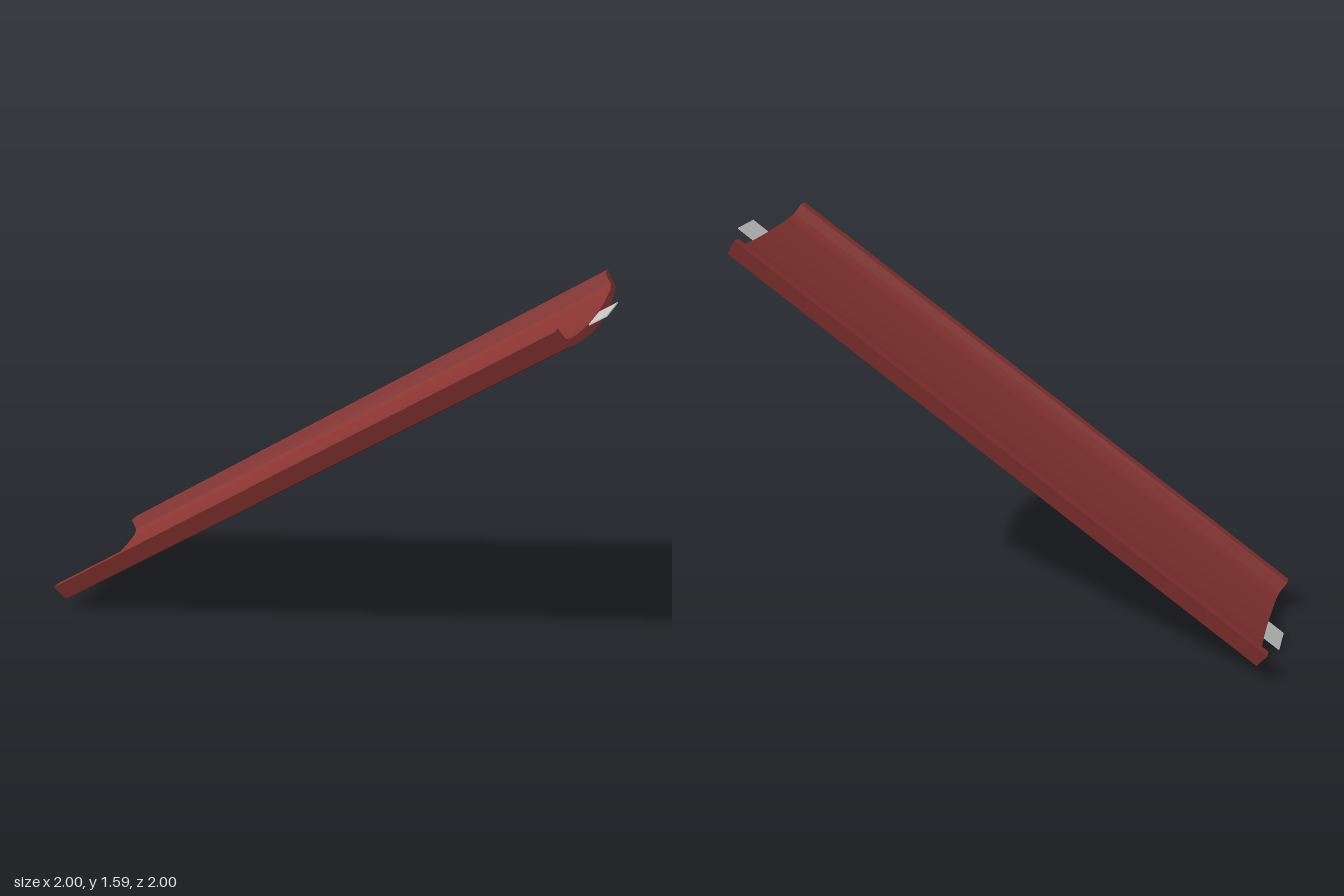
import * as THREE from 'three';
import { toCreasedNormals } from 'three/addons/utils/BufferGeometryUtils.js';

export function createModel() {
  const model = new THREE.Group();
  model.name = 'slide';

  const red = new THREE.MeshStandardMaterial({ color: 0x8c3633 });
  const grey = new THREE.MeshStandardMaterial({ color: 0xcccccc });

  const length = 2.565;   // chute length along the slope
  const tab = 0.079;      // how far the strip sticks out at each end

  // Chute cross-section: x across, y away from the floor, 0 at the rail tops
  const profile = new THREE.Shape();
  profile.moveTo(-0.355, 0);
  profile.lineTo(-0.331, -0.072);
  profile.quadraticCurveTo(0, -0.152, 0.331, -0.072); // bowed underside
  profile.lineTo(0.355, 0);
  profile.lineTo(0.315, 0);
  profile.lineTo(0.304, -0.047);
  profile.lineTo(0.275, -0.06);
  profile.quadraticCurveTo(0, -0.098, -0.275, -0.06); // dished floor
  profile.lineTo(-0.304, -0.047);
  profile.lineTo(-0.315, 0);
  profile.closePath();

  const chuteGeometry = new THREE.ExtrudeGeometry(profile, {
    depth: length, bevelEnabled: false, curveSegments: 16,
  });
  const chute = new THREE.Mesh(toCreasedNormals(chuteGeometry, 0.35), red);
  chute.name = 'chute';

  // Thin strip just under the floor, showing as a tab at both ends
  const strip = new THREE.Mesh(
    new THREE.BoxGeometry(0.148, 0.004, length + 2 * tab), grey);
  strip.name = 'mountingStrip';
  strip.position.set(0, -0.0815, length / 2);

  // Lay the chute on its diagonal slope
  const slope = new THREE.Group();
  slope.name = 'slopedChute';
  slope.add(chute, strip);
  const across = new THREE.Vector3(1, 0, -1).normalize();
  const along = new THREE.Vector3(1, 1, 1).normalize();
  const up = new THREE.Vector3().crossVectors(along, across);
  slope.quaternion.setFromRotationMatrix(
    new THREE.Matrix4().makeBasis(across, up, along));
  slope.position.set(-0.748, 0.114, -0.748);
  model.add(slope);

  return model;
}
